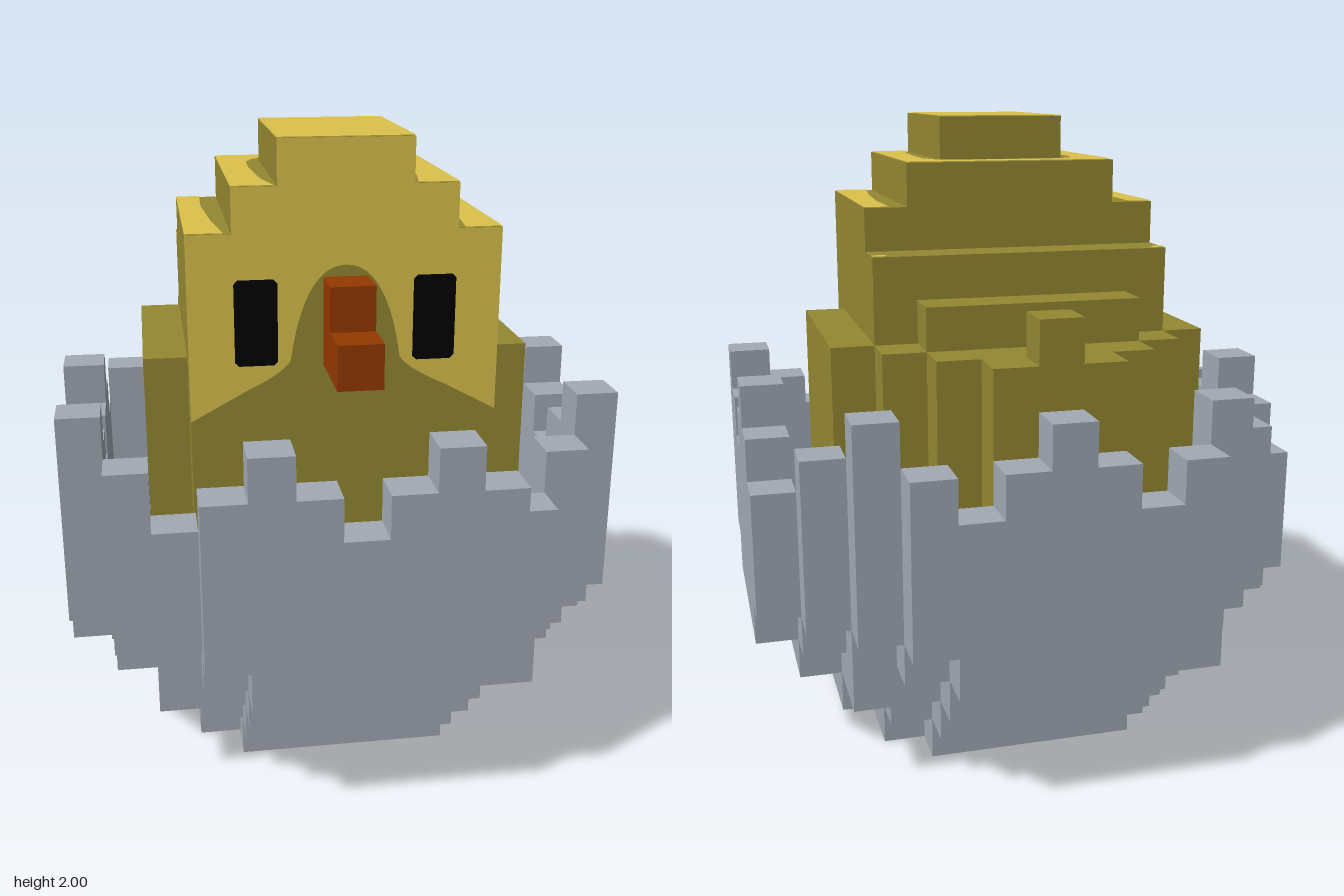
import * as THREE from 'three';
import { mergeGeometries } from 'three/addons/utils/BufferGeometryUtils.js';

const U = 2 / 15; // edge of one cube

function material(name, color) {
  const m = new THREE.MeshStandardMaterial({ color });
  m.name = name;
  return m;
}

// Merges unit cells into one surface, keeping only the exposed faces.
function cellGeometry(filled, n, height) {
  const faces = [
    [0, 0, 1, 0, 0], [0, 0, -1, 0, Math.PI], [1, 0, 0, 0, Math.PI / 2],
    [-1, 0, 0, 0, -Math.PI / 2], [0, 1, 0, -Math.PI / 2, 0], [0, -1, 0, Math.PI / 2, 0],
  ].map(([dx, dy, dz, rx, ry]) => ({
    dx, dy, dz,
    quad: new THREE.PlaneGeometry(U, U).translate(0, 0, U / 2).rotateX(rx).rotateY(ry),
  }));
  const quads = [];
  for (let x = -n; x <= n; x++)
    for (let z = -n; z <= n; z++)
      for (let y = 0; y < height; y++) {
        if (!filled(x, y, z)) continue;
        for (const f of faces)
          if (!filled(x + f.dx, y + f.dy, z + f.dz))
            quads.push(f.quad.clone().translate(x * U, (y + 0.5) * U, z * U));
      }
  return mergeGeometries(quads);
}

// Egg: a round bowl whose wall continues straight up
function insideEgg(x, y, z) {
  const dy = Math.min(0, y - 6);
  return y >= 0 && Math.abs(x) <= 6 && Math.abs(z) <= 6 && x * x + dy * dy + z * z <= 49;
}

// Zigzag rim: steps counted around the wall from the front centre
function rimHeight(x, z) {
  const ax = Math.abs(x);
  let k = 9 - z;
  if (z === 6) k = ax;
  else if (z === -6) k = 18 - ax;
  return 7 + [0, 1, 2, 1][k % 4];
}

function shellCell(x, y, z) {
  if (!insideEgg(x, y, z)) return false;
  const outer = !insideEgg(x + 1, y, z) || !insideEgg(x - 1, y, z) || !insideEgg(x, y, z + 1) ||
    !insideEgg(x, y, z - 1) || !insideEgg(x, y - 1, z);
  return outer && (y < 7 || y < rimHeight(x, z));
}

export function createModel() {
  const grey = material('shell grey', 0xa2aab4);
  const yellow = material('down yellow', 0xdcc14b);
  const olive = material('feather olive', 0x948832);
  const orange = material('beak rust', 0x943900);
  const black = material('eye black', 0x000000);

  const model = new THREE.Group();
  const add = (name, geometry, mat, parent = model) => {
    const mesh = new THREE.Mesh(geometry, mat);
    mesh.name = name;
    parent.add(mesh);
    return mesh;
  };
  // Box given by its limits in cube units
  const block = (name, mat, x0, x1, y0, y1, z0, z1, parent) =>
    add(name, new THREE.BoxGeometry((x1 - x0) * U, (y1 - y0) * U, (z1 - z0) * U)
      .translate((x0 + x1) / 2 * U, (y0 + y1) / 2 * U, (z0 + z1) / 2 * U), mat, parent);

  add('eggShell', cellGeometry(shellCell, 6, 10), grey);

  const chick = new THREE.Group();
  chick.name = 'chick';
  model.add(chick);

  // Body and head: stacked steps [name, half width, bottom, top, back]
  for (const [name, w, y0, y1, back] of [
    ['body', 3.5, 2, 10, -3.5],
    ['neck', 3.5, 10, 12, -2.5],
    ['head', 3.5, 12, 13, -1.5],
    ['forehead', 2.5, 13, 14, -1.5],
    ['crown', 1.5, 14, 15, -0.5],
  ]) block(name, olive, -w, w, y0, y1, back, 3.5, chick);

  // Back step, rump and tail
  block('backStep', olive, -2.5, 2.5, 10, 11, -3.5, -2.5, chick);
  block('rump', olive, -2.5, 2.5, 4, 10, -4.5, -3.5, chick);
  block('tail', olive, -1.5, 1.5, 4, 10, -5.5, -4.5, chick);
  block('tailTip', olive, -0.5, 0.5, 10, 11, -5.5, -4.5, chick);

  // Eye: thin plate with clipped corners
  const ew = 0.064, eh = 0.13, c = 0.012;
  const eyeShape = new THREE.Shape([
    [ew, eh - c], [ew - c, eh], [c - ew, eh], [-ew, eh - c],
    [-ew, c - eh], [c - ew, -eh], [ew - c, -eh], [ew, c - eh],
  ].map(([x, y]) => new THREE.Vector2(x, y)));

  // Wings and eyes on both sides
  for (const [s, side] of [[1, 'left'], [-1, 'right']]) {
    const wing = block(side + 'Wing', olive, -0.5, 0.5, 4, 10, -2.5, 2.5, chick);
    wing.position.x = s * 4 * U;
    const eye = add(side + 'Eye', new THREE.ShapeGeometry(eyeShape), black, chick);
    eye.position.set(s * 2 * U, 11 * U + 0.002, 3.5 * U + 0.006);
  }

  // Beak
  block('upperBeak', orange, -0.5, 0.5, 10, 12, 3.5, 4.5, chick);
  block('lowerBeak', orange, -0.5, 0.5, 10, 11, 4.5, 5.5, chick);

  // Yellow face with an olive bib rising around the beak
  const face = new THREE.Shape();
  face.moveTo(-3.5 * U, 1.17);
  face.lineTo(-0.3, 1.26);
  face.quadraticCurveTo(-0.19, 1.31, -0.165, 1.35);
  face.bezierCurveTo(-0.14, 1.52, -0.09, 1.635, 0, 1.635);
  face.bezierCurveTo(0.09, 1.635, 0.14, 1.52, 0.165, 1.35);
  face.quadraticCurveTo(0.19, 1.31, 0.3, 1.26);
  face.lineTo(3.5 * U, 1.17);
  for (const [x, y] of [[3.5, 13], [2.5, 13], [2.5, 14], [1.5, 14], [1.5, 15],
    [-1.5, 15], [-1.5, 14], [-2.5, 14], [-2.5, 13], [-3.5, 13]]) face.lineTo(x * U, y * U);
  add('facePatch', new THREE.ShapeGeometry(face).translate(0, 0, 3.5 * U + 0.003), yellow, chick);

  // Yellow tops of the head steps, drawn as [x, z] outlines
  const top = (name, level, points) => {
    const shape = new THREE.Shape(points.map(([x, z]) => new THREE.Vector2(x, -z)));
    add(name, new THREE.ShapeGeometry(shape).rotateX(-Math.PI / 2)
      .translate(0, level * U + 0.003, 0), yellow, chick);
  };
  const f = 3.5 * U, b = -1.5 * U, n = -2.5 * U;
  top('crownTop', 15, [[-1.5 * U, f], [1.5 * U, f], [1.5 * U, -0.5 * U], [-1.5 * U, -0.5 * U]]);
  const edge = [[0.21, f], [0.235, 0.33], [0.248, 0.1], [0.245, -0.03], [0.22, -0.1], [0.17, -0.13]];
  top('foreheadTop', 14, [
    [2.5 * U, f], [2.5 * U, b], [-2.5 * U, b], [-2.5 * U, f],
    ...edge.map(([x, z]) => [-x, z]), ...edge.slice().reverse(),
  ]);
  for (const [s, side] of [[1, 'left'], [-1, 'right']]) {
    const mirrored = (points) => points.map(([x, z]) => [s * x, z]);
    top(side + 'HeadTop', 13,
      mirrored([[0.355, f], [0.38, 0.25], [0.395, 0], [0.39, b], [f, b], [f, f]]));
    top(side + 'NeckCorner', 12,
      mirrored([[f, n], [f, n + 0.02], [f - 0.03, n + 0.035], [f - 0.045, n + 0.02], [f - 0.04, n]]));
  }

  return model;
}
